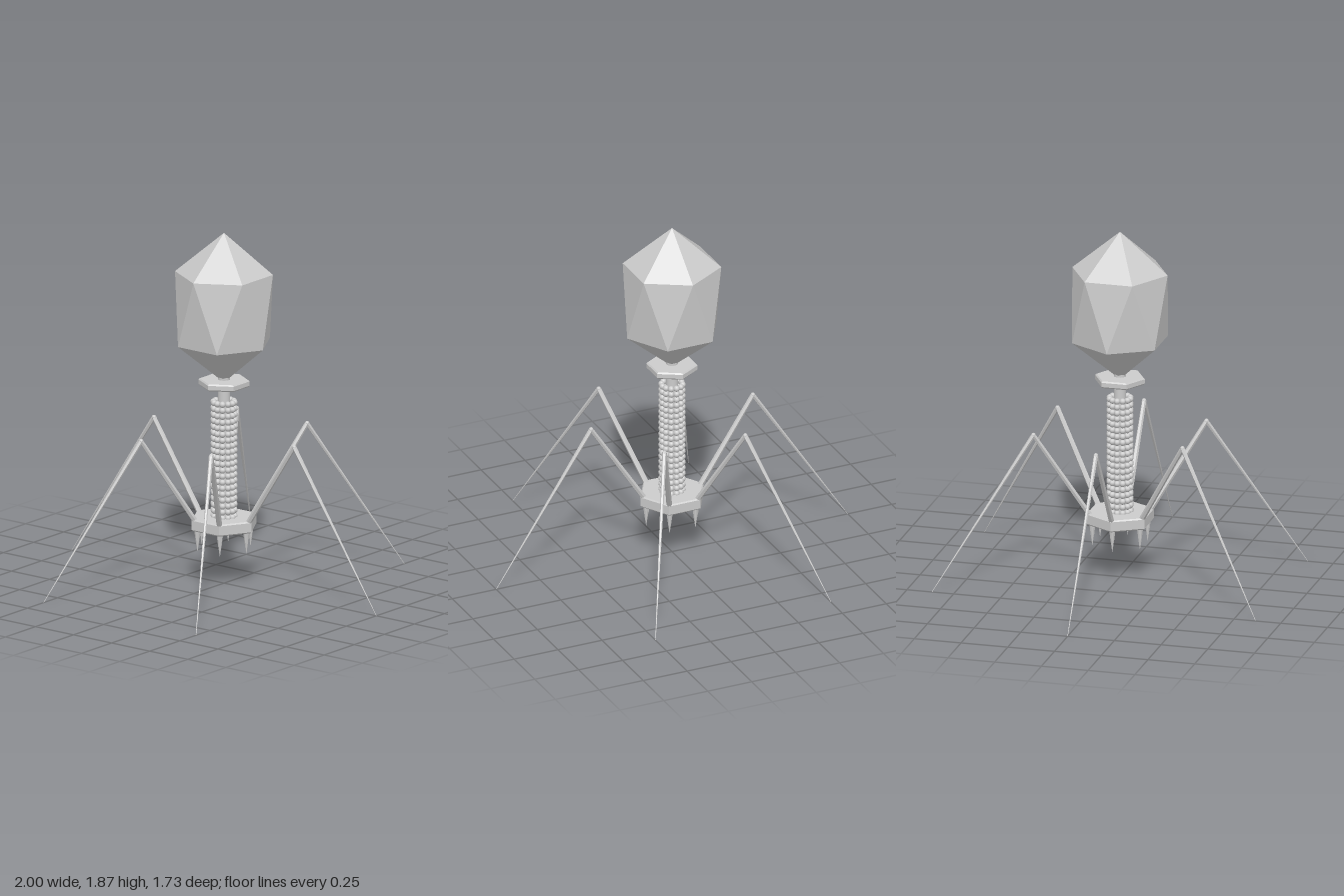
import * as THREE from 'three';
import { mergeGeometries } from 'three/addons/utils/BufferGeometryUtils.js';
import { ConvexGeometry } from 'three/addons/geometries/ConvexGeometry.js';

const flat = new THREE.MeshStandardMaterial({ color: 0xcccccc, flatShading: true });
const smooth = new THREE.MeshStandardMaterial({ color: 0xcccccc });

function part(name, geometry, material, parent) {
  const mesh = new THREE.Mesh(geometry, material);
  mesh.name = name;
  parent.add(mesh);
  return mesh;
}

// Point at a radius, height and angle around the vertical axis (angle 0 is +x)
function polar(r, y, a) {
  return new THREE.Vector3(r * Math.cos(a), y, r * Math.sin(a));
}

// Six-sided plate with bevelled rims, corners on the z axis
function hexPlate(r, y0, y1, bevel) {
  const profile = [[0, y0], [r - bevel, y0], [r, y0 + bevel], [r, y1 - bevel], [r - bevel, y1], [0, y1]];
  return new THREE.LatheGeometry(profile.map(([x, y]) => new THREE.Vector2(x, y)), 6);
}

// Tapered rod between two points
function rod(a, b, ra, rb) {
  const dir = b.clone().sub(a);
  const g = new THREE.CylinderGeometry(rb, ra, dir.length(), 6);
  g.applyQuaternion(new THREE.Quaternion().setFromUnitVectors(new THREE.Vector3(0, 1, 0), dir.normalize()));
  const mid = a.clone().add(b).multiplyScalar(0.5);
  return g.translate(mid.x, mid.y, mid.z);
}

export function createModel() {
  const model = new THREE.Group();
  model.name = 'model';
  const step = Math.PI / 3;

  // Faceted head: two hexagonal rings turned against each other, plus two tips
  const points = [new THREE.Vector3(0, 1.875, 0), new THREE.Vector3(0, 1.075, 0)];
  for (let i = 0; i < 6; i++) {
    points.push(polar(0.255, 1.66, (i + 0.5) * step), polar(0.255, 1.29, i * step));
  }
  part('head', new ConvexGeometry(points), flat, model);

  // Neck and core tube, collar and base plate
  part('coreTube', new THREE.CylinderGeometry(0.032, 0.032, 0.78, 20).translate(0, 0.72, 0), smooth, model);
  part('collar', hexPlate(0.133, 1.055, 1.092, 0.007), flat, model);
  part('basePlate', hexPlate(0.18, 0.297, 0.36, 0.007).rotateY(Math.PI / 6), flat, model);

  // Beaded sheath: stacked rings of small spheres
  const beads = [];
  const rows = 20, perRow = 12;
  for (let row = 0; row < rows; row++) {
    for (let i = 0; i < perRow; i++) {
      const p = polar(0.055, 0.362 + row * 0.032, (i / perRow) * Math.PI * 2);
      beads.push(new THREE.SphereGeometry(0.0165, 10, 8).translate(p.x, p.y, p.z));
    }
  }
  part('beadedSheath', mergeGeometries(beads), smooth, model);

  // Six bent legs and six short spikes under the base plate
  for (let i = 0; i < 6; i++) {
    const a = i * step;
    const hip = polar(0.15, 0.335, a), knee = polar(0.46, 0.808, a), foot = polar(0.999, 0.001, a);
    const leg = new THREE.Group();
    leg.name = 'leg' + (i + 1);
    part('upperLeg', rod(hip, knee, 0.015, 0.012), flat, leg);
    part('knee', new THREE.SphereGeometry(0.0125, 8, 6).translate(knee.x, knee.y, knee.z), smooth, leg);
    part('lowerLeg', rod(knee, foot, 0.012, 0.0015), flat, leg);
    model.add(leg);

    const s = polar(0.147, 0, a);
    const spike = [[0, 0.18], [0.010, 0.245], [0.017, 0.3]].map(([x, y]) => new THREE.Vector2(x, y));
    part('spike' + (i + 1), new THREE.LatheGeometry(spike, 8).translate(s.x, 0, s.z), flat, model);
  }
  return model;
}
